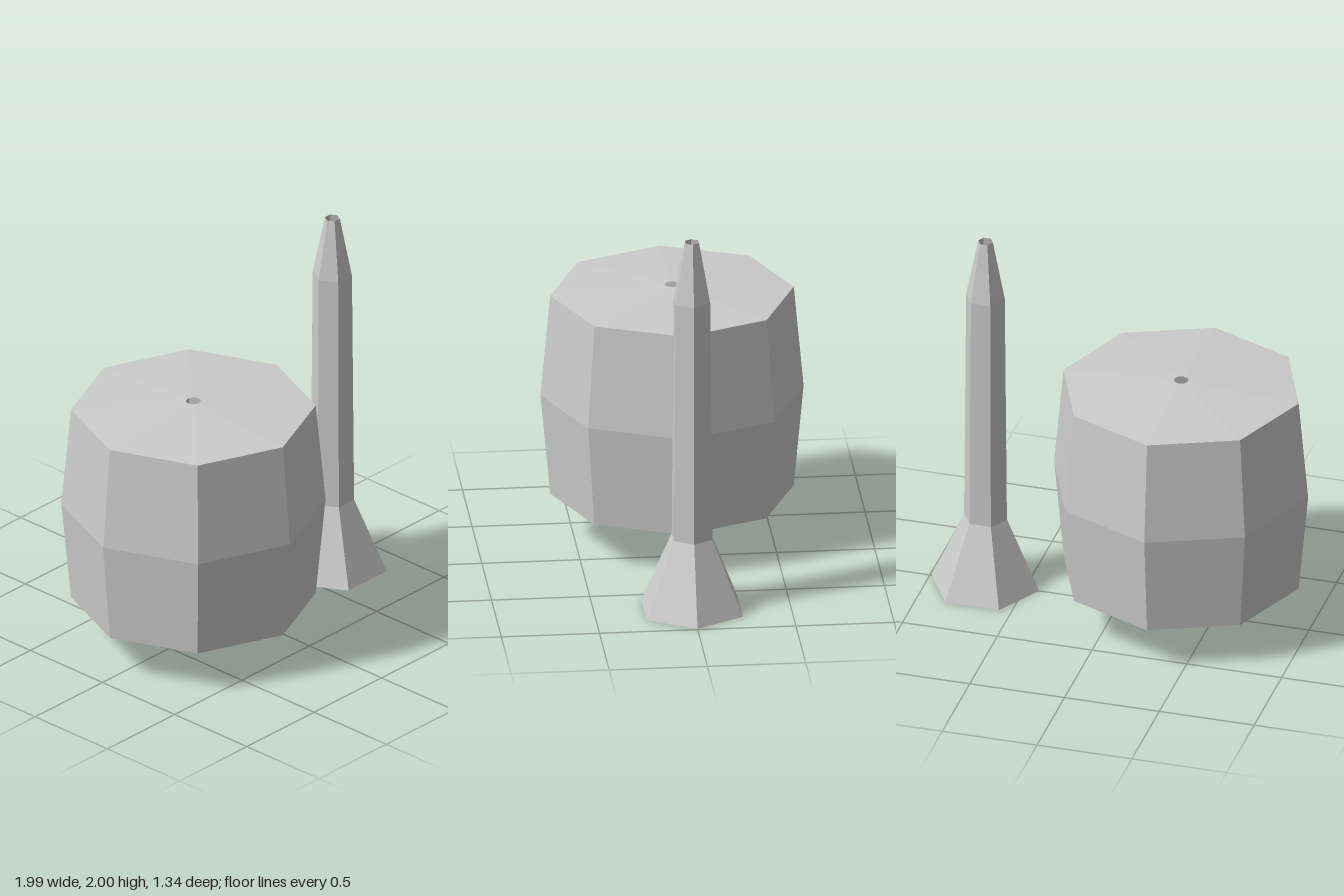
import * as THREE from 'three';

// Open faceted shell turned from a [radius, height] profile, bottom to top
function turned(name, profile, sides, x) {
  const points = profile.map(([r, y]) => new THREE.Vector2(r, y));
  const geometry = new THREE.LatheGeometry(points, sides, Math.PI / 2);
  const material = new THREE.MeshStandardMaterial({
    color: 0xcccccc, flatShading: true, side: THREE.DoubleSide,
  });
  const mesh = new THREE.Mesh(geometry, material);
  mesh.name = name;
  mesh.position.x = x;
  return mesh;
}

export function createModel() {
  const group = new THREE.Group();
  group.name = 'barrelAndSpout';

  // Bulging eight-sided barrel with shallow cone ends and a small hole in each
  group.add(turned('barrel', [
    [0.038, 0.197], [0.62, 0.235], [0.67, 0.775], [0.62, 1.317], [0.038, 1.355],
  ], 8, -0.325));

  // Six-sided hollow spout: flared foot, long shaft, tapered tip
  group.add(turned('spout', [
    [0.283, 0], [0.113, 0.392], [0.102, 1.68], [0.039, 2],
  ], 6, 0.707));

  return group;
}
